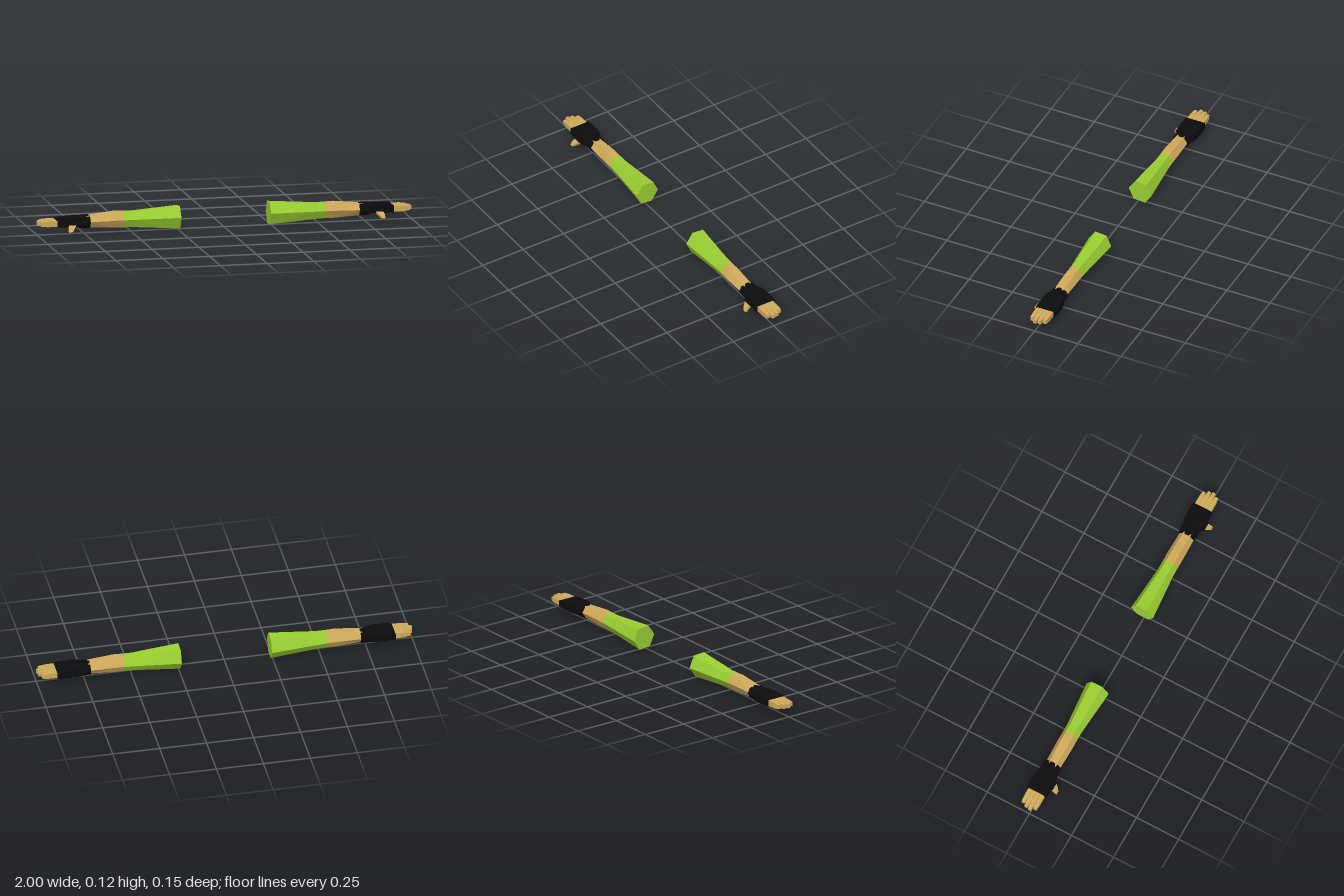
import * as THREE from 'three';

const sleeveGreen = new THREE.MeshStandardMaterial({ name: 'sleeveGreen', color: 0x9acd32 });
const skin = new THREE.MeshStandardMaterial({ name: 'skin', color: 0xd0aa5a });
const wrapBlack = new THREE.MeshStandardMaterial({ name: 'wrapBlack', color: 0x0b0b0b });

// Cross-section across the arm at x: an n-gon with radii ry and rz
function ring(x, cy, cz, ry, rz, n = 6, turn = 0) {
  return Array.from({ length: n }, (_, k) => {
    const a = turn + (k / n) * Math.PI * 2;
    return new THREE.Vector3(x, cy + ry * Math.sin(a), cz + rz * Math.cos(a));
  });
}

// Rectangular cross-section with half height hy and half width hz
function boxRing(x, cy, cz, hy, hz) {
  return [[1, 1], [-1, 1], [-1, -1], [1, -1]].map(([z, y]) =>
    new THREE.Vector3(x, cy + y * hy, cz + z * hz));
}

// Flat-faced closed skin over rings; side -1 mirrors it across x
function loft(rings, side) {
  const pos = [];
  const tri = (a, b, c) => {
    for (const p of side > 0 ? [a, b, c] : [a, c, b]) pos.push(p.x * side, p.y, p.z);
  };
  const n = rings[0].length;
  for (let i = 0; i < rings.length - 1; i++) {
    for (let k = 0; k < n; k++) {
      const j = (k + 1) % n;
      tri(rings[i][k], rings[i + 1][k], rings[i + 1][j]);
      tri(rings[i][k], rings[i + 1][j], rings[i][j]);
    }
  }
  const first = rings[0], last = rings[rings.length - 1];
  for (let k = 1; k < n - 1; k++) {
    tri(first[0], first[k], first[k + 1]);
    tri(last[0], last[k + 1], last[k]);
  }
  const geo = new THREE.BufferGeometry();
  geo.setAttribute('position', new THREE.Float32BufferAttribute(pos, 3));
  geo.computeVertexNormals();
  return geo;
}

function createArm(side) {
  const arm = new THREE.Group();
  arm.name = side > 0 ? 'leftArm' : 'rightArm';
  const add = (name, material, rings) => {
    const mesh = new THREE.Mesh(loft(rings, side), material);
    mesh.name = name;
    arm.add(mesh);
  };

  // Sleeve flaring toward the shoulder, and bare forearm
  const cuffEdge = ring(0.54, 0.065, -0.011, 0.0465, 0.044, 6, 0.03);
  add('sleeve', sleeveGreen, [
    ring(0.24, 0.064, -0.011, 0.068, 0.066, 6, 0.09),
    ring(0.49, 0.064, -0.011, 0.047, 0.045, 6, 0.05),
    cuffEdge,
  ]);
  add('forearm', skin, [
    cuffEdge,
    ring(0.59, 0.066, -0.011, 0.047, 0.045),
    ring(0.74, 0.063, -0.011, 0.034, 0.041),
  ]);

  // Wrist wrapping
  add('wristWrap', wrapBlack, [
    ring(0.72, 0.062, -0.012, 0.036, 0.047, 8, Math.PI / 2),
    ring(0.735, 0.062, -0.012, 0.037, 0.05, 8, Math.PI / 2),
    ring(0.77, 0.062, -0.013, 0.036, 0.05, 8, Math.PI / 2),
    ring(0.79, 0.063, -0.013, 0.026, 0.05, 8, Math.PI / 2),
  ]);

  // Gloved palm
  add('palm', wrapBlack, [
    boxRing(0.765, 0.064, -0.013, 0.022, 0.044),
    boxRing(0.8, 0.065, -0.014, 0.021, 0.054),
    boxRing(0.86, 0.064, -0.014, 0.019, 0.056),
    boxRing(0.9, 0.063, -0.014, 0.017, 0.055),
  ]);

  // Four fingers with narrowed tips
  [[0.024, 0.985], [0, 1], [-0.024, 0.995], [-0.048, 0.98]].forEach(([z, tip], i) =>
    add('finger' + (i + 1), skin, [
      boxRing(0.89, 0.063, z, 0.0155, 0.0115),
      boxRing(0.95, 0.063, z, 0.0145, 0.0113),
      boxRing(tip, 0.063, z, 0.011, 0.0085),
    ]));

  // Thumb pointing forward and down
  const thumbRing = (x, y, z, hx, h) => [[1, 1], [-1, 1], [-1, -1], [1, -1]].map(([u, v]) =>
    new THREE.Vector3(x + u * hx, y - v * h * 0.67, z - v * h * 0.74));
  add('thumbBase', wrapBlack, [
    thumbRing(0.815, 0.067, 0.022, 0.033, 0.015),
    thumbRing(0.82, 0.05, 0.045, 0.024, 0.011),
  ]);
  add('thumb', skin, [
    thumbRing(0.82, 0.052, 0.043, 0.02, 0.009),
    thumbRing(0.829, 0.037, 0.06, 0.016, 0.008),
    thumbRing(0.836, 0.022, 0.074, 0.009, 0.005),
  ]);
  return arm;
}

export function createModel() {
  const model = new THREE.Group();
  model.name = 'pairOfArms';
  for (const side of [1, -1]) model.add(createArm(side));
  return model;
}
